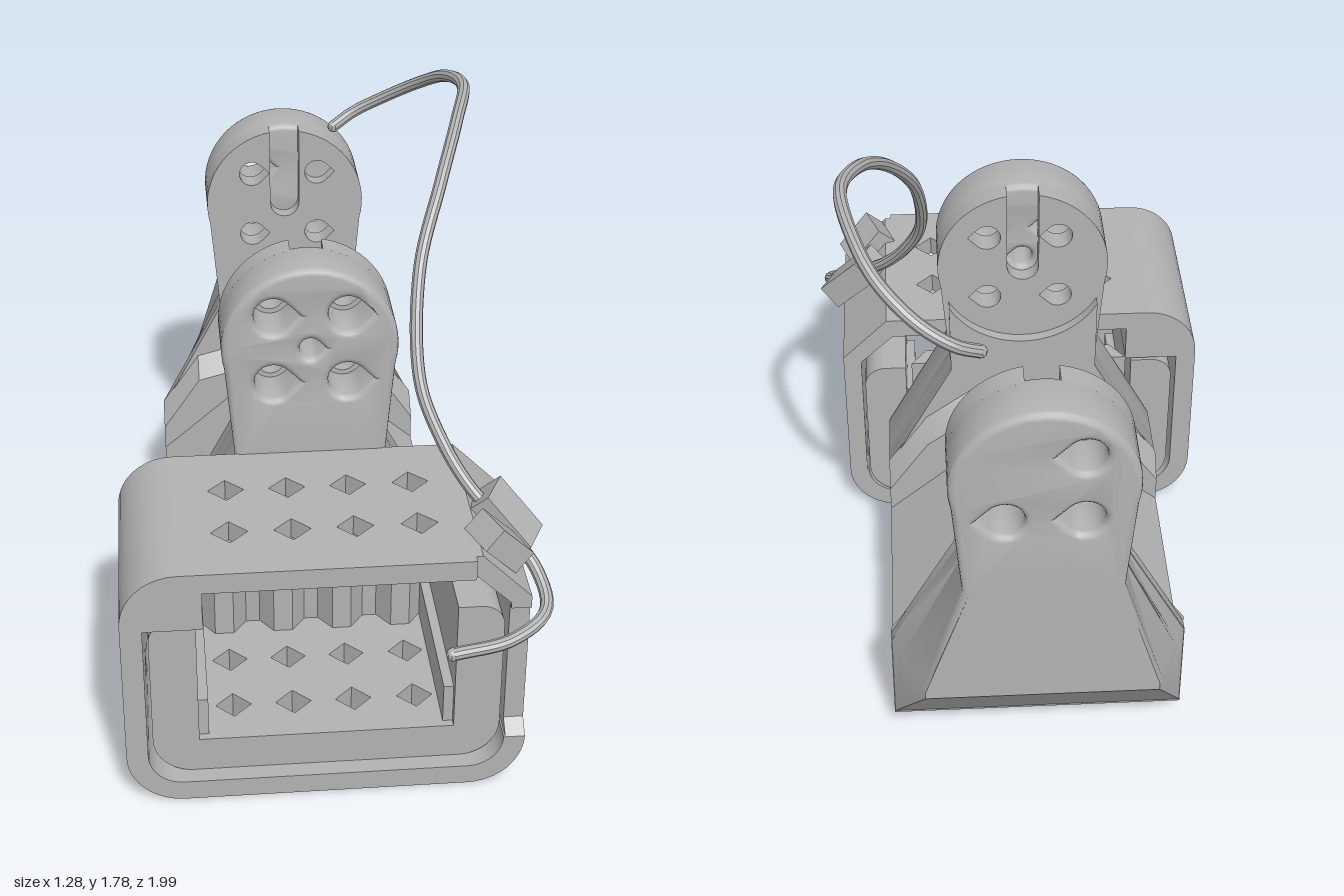
import * as THREE from 'three';
import { toCreasedNormals } from 'three/addons/utils/BufferGeometryUtils.js';

const grey = new THREE.MeshStandardMaterial({ color: 0xb2b2b2 });
grey.name = 'grey plastic';
const CX = -0.035; // symmetry plane of the bracket

const clamp = THREE.MathUtils.clamp;
const V = (x, y) => new THREE.Vector2(x, y);
const pts = list => list.map(p => V(p[0], p[1]));
const flip = (list, s) => list.map(p => V(p.x * s, p.y));

function arc(cx, cy, r, a0, a1, n = 10) {
  return Array.from({ length: n + 1 }, (_, i) => {
    const a = a0 + (a1 - a0) * i / n;
    return V(cx + r * Math.cos(a), cy + r * Math.sin(a));
  });
}
// Round hole with one pointed side
const teardrop = (x, y, r, s = 1) =>
  [...arc(x, y, r, Math.PI / 4, Math.PI * 7 / 4, 18), V(x + r * 1.414, y)].map(p => V(x + (p.x - x) * s, p.y));
const diamond = (x, y, r) => pts([[x + r, y], [x, y + r], [x - r, y], [x, y - r]]);

function extrude(outline, from, to, { holes = [], bevel = 0, rule } = {}) {
  const shape = new THREE.Shape(outline);
  holes.forEach(h => shape.holes.push(new THREE.Path(h)));
  const g = new THREE.ExtrudeGeometry(shape, {
    depth: to - from - 2 * bevel, steps: 1, bevelEnabled: bevel > 0,
    bevelThickness: bevel, bevelSize: bevel, bevelOffset: -bevel, bevelSegments: 3
  });
  g.translate(0, 0, from + bevel);
  if (rule) {
    const p = g.attributes.position;
    const v = new THREE.Vector3();
    for (let i = 0; i < p.count; i++) {
      rule(v.fromBufferAttribute(p, i));
      p.setXYZ(i, v.x, v.y, v.z);
    }
  }
  return g;
}
function add(group, name, geometry) {
  const m = new THREE.Mesh(toCreasedNormals(geometry, 0.6), grey);
  m.name = name;
  group.add(m);
  return m;
}
// Horizontal plate with a grid of diamond holes
function perforatedPlate(x0, x1, z0, z1, y0, y1, holeX) {
  const holes = [];
  for (const z of [0.49, 0.715]) for (const x of holeX) holes.push(diamond(x, -z, 0.055));
  return extrude(pts([[x0, -z1], [x1, -z1], [x1, -z0], [x0, -z0]]), y0, y1, { holes }).rotateX(-Math.PI / 2);
}

// Outer rectangular sleeve
function sleeve() {
  const g = new THREE.Group();
  g.name = 'sleeve';
  g.position.x = -0.04;
  const z0 = 0.285, z1 = 0.925;
  const holeX = [-0.27, -0.085, 0.1, 0.29];
  add(g, 'sleeveFloor', perforatedPlate(-0.43, 0.43, z0, z1, 0, 0.065, holeX));
  add(g, 'sleeveTop', perforatedPlate(-0.43, 0.43, z0, z1, 0.755, 0.82, holeX));
  for (const s of [-1, 1]) {
    const ring = [...arc(0.43, 0.17, 0.17, -Math.PI / 2, 0), ...arc(0.43, 0.17, 0.105, 0, -Math.PI / 2)];
    add(g, 'lowerCorner', extrude(flip(ring, s), z0, z1));
  }
  // Side walls with a screw hole; the right one is notched at the front
  const hole = arc(-0.55, 0.23, 0.045, 0, Math.PI * 2, 20).slice(0, -1);
  const left = pts([[-z1, 0.17], [-z0, 0.17], [-z0, 0.65], [-z1, 0.65]]);
  const right = pts([[-z1, 0.17], [-z0, 0.17], [-z0, 0.64], [-0.88, 0.64], [-0.88, 0.21]]);
  add(g, 'leftPanel', extrude(left, -0.6, -0.535, { holes: [hole] }).rotateY(Math.PI / 2));
  add(g, 'rightPanel', extrude(right, 0.54, 0.6, { holes: [hole] }).rotateY(Math.PI / 2));
  add(g, 'upperCornerBlock', extrude([...arc(-0.43, 0.65, 0.17, Math.PI, Math.PI / 2),
    V(-0.36, 0.82), V(-0.36, 0.63), V(-0.6, 0.63)], z0, z1));
  add(g, 'slopedCorner', extrude(pts([[0.42, 0.82], [0.45, 0.82], [0.6, 0.67], [0.6, 0.63],
    [0.54, 0.63], [0.54, 0.65], [0.43, 0.755], [0.42, 0.755]]), z0, 0.9));
  return g;
}

// Tray nested in the sleeve
function tray() {
  const g = new THREE.Group();
  g.name = 'tray';
  g.position.x = CX;
  const z0 = 0.285, z1 = 0.87;
  add(g, 'trayFloor', perforatedPlate(-0.405, 0.405, z0, z1, 0.065, 0.18, [-0.275, -0.09, 0.095, 0.285]));
  const wall = [V(0.405, 0.065), ...arc(0.405, 0.185, 0.12, -Math.PI / 2, 0),
    ...arc(0.455, 0.55, 0.07, 0, Math.PI / 2), V(0.385, 0.62), V(0.385, 0.18), V(0.405, 0.18)];
  for (const s of [-1, 1]) {
    add(g, 'trayWall', extrude(flip(wall, s), z0, z1));
    add(g, 'trayLedge', new THREE.BoxGeometry(0.03, 0.13, 0.55)).position.set(s * 0.37, 0.245, 0.57);
  }
  // Vertical ribs on the end wall
  for (let i = 0; i < 4; i++) {
    const x = -0.285 + i * 0.19, h = i % 3 === 0 ? 0.64 : 0.755;
    add(g, 'rib', extrude(pts([[x - 0.08, -0.28], [x - 0.03, -0.35], [x + 0.03, -0.35], [x + 0.08, -0.28]]),
      0.18, h).rotateX(-Math.PI / 2));
  }
  return g;
}

// Upright arm with a round head; the rear one has a sloped, tapered foot
function arm(name, rear) {
  const g = new THREE.Group();
  g.name = name;
  g.position.x = CX;
  if (rear) { g.rotation.y = Math.PI; g.position.z = -0.705; }
  const cy = 1.18, R = 0.27, w = 0.05, a = Math.acos(w / R), s = rear ? -1 : 1;
  const rule = v => {
    if (!rear) return;
    const t = clamp((v.z - 0.07) / 0.22, 0, 1), half = 0.45 - 0.1 * t;
    v.x = clamp(v.x, -half, half);
    v.y = Math.max(v.y, 0.08 + 0.29 * t);
  };
  const foot = pts([[-0.235, 0.8], [-0.45, 0.4], [-0.45, 0.08], [0.45, 0.08], [0.45, 0.4], [0.235, 0.8]]);
  const bolts = r => [[-1, -1], [1, -1], [1, 1], [-1, 1]].map(([i, j]) => teardrop(i * 0.113, cy + j * 0.113, r, s));
  const outerHoles = bolts(0.058);
  if (!rear) outerHoles.push(teardrop(0, cy, 0.033));
  add(g, 'armOuter', extrude([...foot, ...arc(0, cy, R, -0.25, Math.PI + 0.25, 36)], 0.12, 0.29,
    { holes: outerHoles, bevel: 0.02, rule }));
  // Inner layer with a slot running up from the pivot
  add(g, 'armInner', extrude([...foot, ...arc(0, cy, R, -0.25, a, 16), ...arc(0, cy, w, 0, -Math.PI, 12),
    ...arc(0, cy, R, Math.PI - a, Math.PI + 0.25, 16)], 0.07, 0.145, { holes: bolts(0.043), rule }));
  // Raised lower face, cut away around the round head
  const b = rear ? 1 : 0.5;
  add(g, 'armLowerFace', extrude([...foot, ...arc(0, cy, R, -b, b - Math.PI, 20)], 0.035, 0.075));
  // Sloped shoulder where the arm meets the base
  const top = rear ? 0.66 : 0.75;
  add(g, 'shoulder', extrude(pts([[-0.45, 0.12], [0.45, 0.12], [0.45, 0.42], [0.32, 0.61], [0.13, top],
    [-0.13, top], [-0.32, 0.61], [-0.45, 0.42]]), -0.03, 0.04,
  { rule: v => { if (v.z < 0 && v.y > 0.2) v.y -= 0.07; } }));
  return g;
}

// Base with a ridged roof between the arms
function base() {
  const g = new THREE.Group();
  g.name = 'base';
  g.position.x = CX;
  add(g, 'ridgedBase', extrude([...arc(-0.39, 0.14, 0.06, Math.PI, Math.PI * 1.5, 5),
    ...arc(0.39, 0.14, 0.06, -Math.PI / 2, 0, 5), V(0.45, 0.265), V(0, 0.65), V(-0.45, 0.265)], -0.77, 0.28));
  return g;
}

// Loose cable and its two clips
function cable() {
  const g = new THREE.Group();
  g.name = 'cable';
  const path = [[0.32, 0.535, 0.98], [0.5, 0.555, 0.95], [0.61, 0.595, 0.87], [0.6, 0.66, 0.76], [0.51, 0.76, 0.66],
    [0.41, 0.86, 0.57], [0.34, 0.97, 0.49], [0.285, 1.12, 0.4], [0.3, 1.4, 0.22], [0.385, 1.6, 0.03],
    [0.46, 1.72, -0.17], [0.505, 1.76, -0.35], [0.475, 1.73, -0.52], [0.41, 1.66, -0.65], [0.3, 1.575, -0.74],
    [0.2, 1.515, -0.765], [0.13, 1.475, -0.74]].map(p => new THREE.Vector3(...p));
  add(g, 'cableTube', new THREE.TubeGeometry(new THREE.CatmullRomCurve3(path), 120, 0.02, 10));
  for (const end of [path[0], path[path.length - 1]])
    add(g, 'cableEnd', new THREE.SphereGeometry(0.02, 10, 8)).position.copy(end);
  const clipA = add(g, 'cableClip', new THREE.BoxGeometry(0.2, 0.09, 0.13));
  clipA.position.set(0.52, 0.765, 0.63);
  clipA.rotation.set(0, -0.45, -0.8, 'YZX');
  const clipB = add(g, 'cableClip', new THREE.BoxGeometry(0.15, 0.08, 0.13));
  clipB.position.set(0.475, 0.795, 0.79);
  clipB.rotation.set(0, 0.35, -0.8, 'YZX');
  return g;
}

export function createModel() {
  const model = new THREE.Group();
  model.name = 'motorBracket';
  model.add(sleeve(), tray(), base(), arm('frontArm', false), arm('rearArm', true), cable());
  return model;
}
